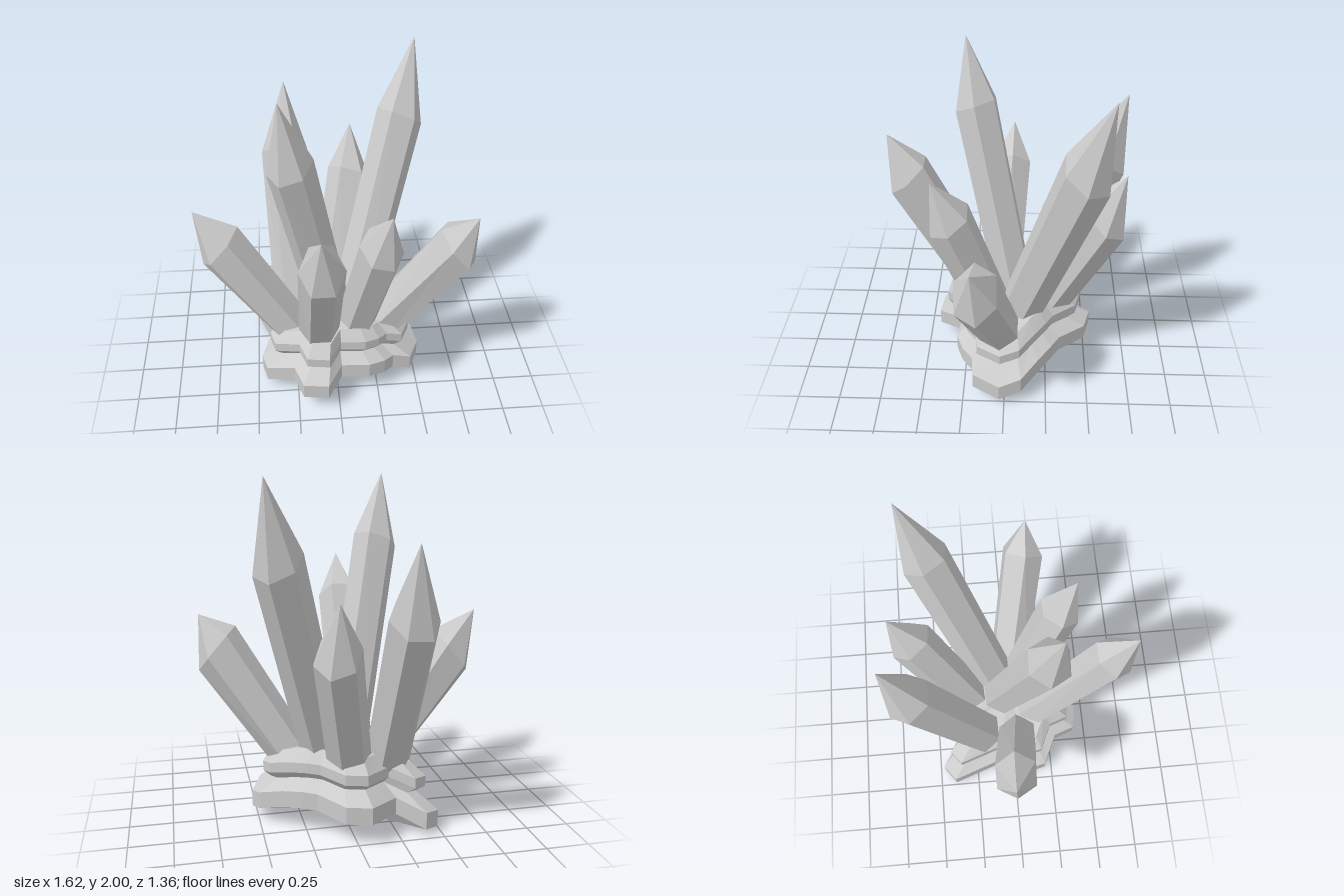
import * as THREE from 'three';

const stone = new THREE.MeshStandardMaterial({ color: 0xcccccc, flatShading: true });

// Six-sided crystal: a straight prism from base to a slanted shoulder, closed by a point at tip
function crystal(name, base, shoulder, tip, radius) {
  const a = new THREE.Vector3(...base);
  const axis = new THREE.Vector3(...shoulder).sub(a);
  const length = axis.length();
  const profile = [[radius * 0.98, 0], [radius, length], [0, length + 0.3]]
    .map(([r, y]) => new THREE.Vector2(r, y));
  const geo = new THREE.LatheGeometry(profile, 6, Math.PI / 6);
  geo.applyQuaternion(new THREE.Quaternion().setFromUnitVectors(
    new THREE.Vector3(0, 1, 0), axis.normalize()));
  geo.translate(...base);
  const pos = geo.attributes.position;
  for (let i = 0; i < pos.count; i += 3) {
    pos.setY(i + 1, shoulder[1] + 1.8 * (pos.getY(i + 1) - shoulder[1]));
    pos.setXYZ(i + 2, ...tip);
  }
  geo.computeVertexNormals();
  const mesh = new THREE.Mesh(geo, stone);
  mesh.name = name;
  return mesh;
}

// Lobed rock base: one wavy star outline [x, z, rim height], repeated in
// layers of [scale, share of the rim wave, rise]
function rockBase() {
  const outline = [
    [0.53, 0.03, 0.05], [0.46, 0.19, 0.08], [0.35, 0.2, 0.11], [0.29, 0.26, 0.13],
    [0.19, 0.3, 0.14], [0.02, 0.28, 0.13], [-0.07, 0.43, 0.11], [-0.22, 0.41, 0.11],
    [-0.27, 0.28, 0.13], [-0.44, 0.2, 0.06], [-0.47, 0.08, 0.05], [-0.4, -0.1, 0.09],
    [-0.49, -0.4, 0.02], [-0.4, -0.47, 0.04], [-0.25, -0.36, 0.1], [-0.07, -0.53, 0.13],
    [0.07, -0.49, 0.13], [0.2, -0.33, 0.15], [0.28, -0.28, 0.15], [0.38, -0.2, 0.13],
    [0.5, -0.1, 0.09],
  ];
  const layers = [
    [1, 1, 0], [1, 1, 0.1], [0.78, 0.7, 0.2], [0.87, 0.7, 0.24], [0.87, 0.7, 0.3], [0.72, 0.7, 0.37],
  ];
  const n = outline.length;
  const points = [];
  const faces = [];
  for (const [scale, wave, rise] of layers) {
    for (const [x, z, y] of outline) points.push(x * scale, y * wave + rise, z * scale);
  }
  const bottom = n * layers.length;
  points.push(0, 0, 0, 0, 0.47, 0);
  const last = n * (layers.length - 1);
  for (let i = 0; i < n; i++) {
    const j = (i + 1) % n;
    for (let k = 0; k < last; k += n) {
      faces.push(k + i, k + n + i, k + j, k + j, k + n + i, k + n + j);
    }
    faces.push(bottom, i, j, last + i, bottom + 1, last + j);
  }
  const geo = new THREE.BufferGeometry();
  geo.setAttribute('position', new THREE.Float32BufferAttribute(points, 3));
  geo.setIndex(faces);
  geo.computeVertexNormals();
  const mesh = new THREE.Mesh(geo, stone);
  mesh.name = 'rockBase';
  return mesh;
}

export function createModel() {
  const group = new THREE.Group();
  group.name = 'crystalCluster';
  group.add(
    rockBase(),
    crystal('tallBackCrystal', [0.1, 0.35, -0.07], [0.41, 1.56, -0.42], [0.49, 2, -0.53], 0.135),
    crystal('tallFrontCrystal', [-0.01, 0.35, -0.07], [-0.25, 1.61, 0.18], [-0.3, 2, 0.23], 0.127),
    crystal('frontCrystal', [-0.11, 0.35, 0.12], [-0.11, 1.22, 0.57], [-0.12, 1.48, 0.68], 0.125),
    crystal('frontLeftCrystal', [0.11, 0.35, 0.06], [0.23, 1.14, 0.31], [0.27, 1.41, 0.4], 0.125),
    crystal('leftCrystal', [0.27, 0.35, 0.02], [0.7, 1.01, 0.14], [0.8, 1.21, 0.16], 0.13),
    crystal('rightCrystal', [-0.26, 0.35, 0.03], [-0.67, 0.97, -0.02], [-0.81, 1.21, -0.03], 0.13),
    crystal('backRightCrystal', [-0.24, 0.35, -0.19], [-0.27, 1.27, -0.57], [-0.26, 1.68, -0.68], 0.14),
    crystal('backCrystal', [-0.01, 0.35, -0.24], [0.13, 1.1, -0.56], [0.14, 1.39, -0.66], 0.132),
  );
  return group;
}
